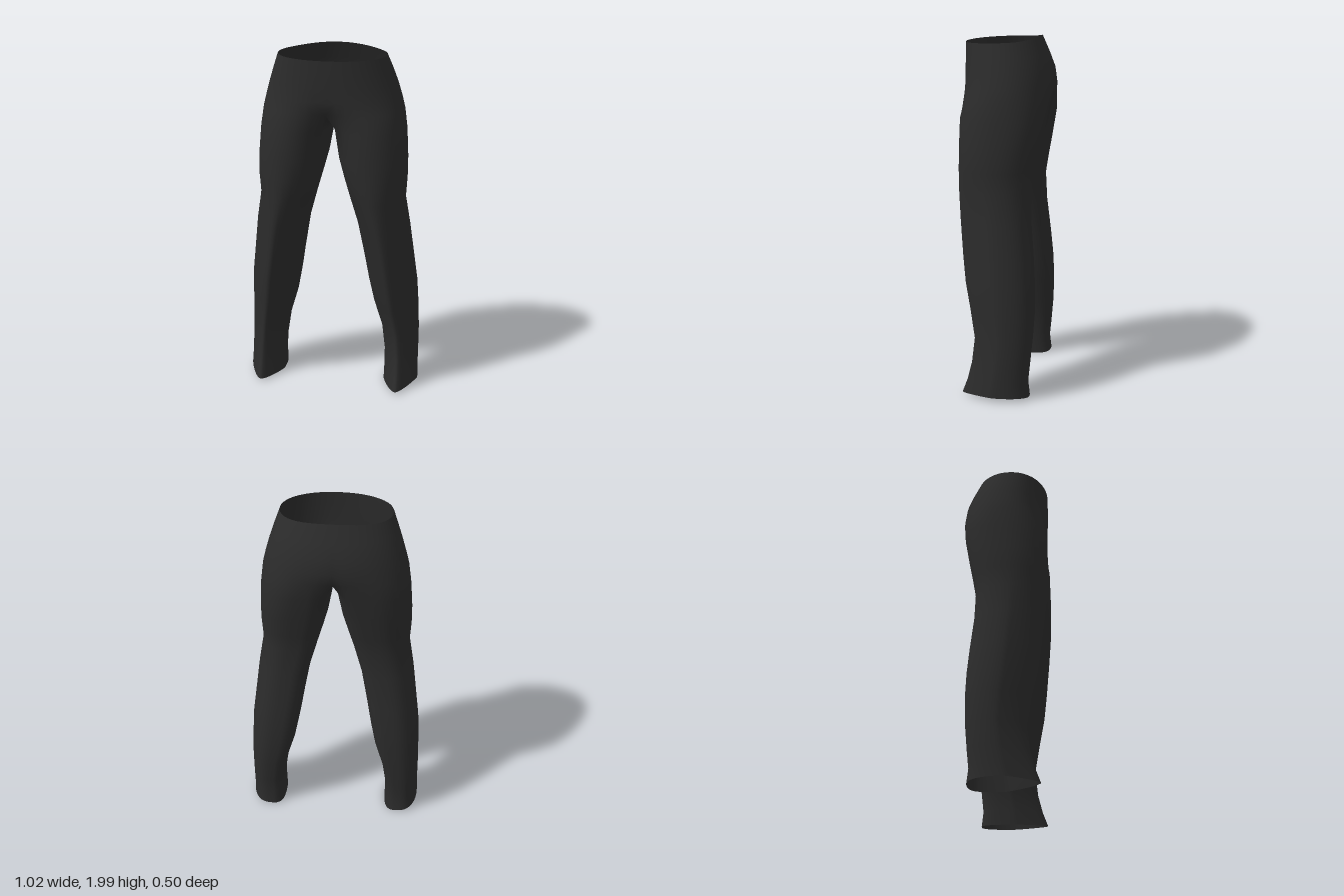
import * as THREE from 'three';
import { mergeGeometries, mergeVertices } from 'three/addons/utils/BufferGeometryUtils.js';

const OUTER = 24;            // steps round the outside of a leg, front seam to back seam
const TOTAL = 32;            // steps round a whole leg; the last 8 face the other leg

const power = (v, e) => Math.sign(v) * Math.abs(v) ** e;
const { lerp, smoothstep } = THREE.MathUtils;

// Hips: y, half width, front z, back z, how far the section has split into two lobes
const HIPS = [
  [1.975, 0.305, 0.25, -0.17, 0],
  [1.9, 0.333, 0.25, -0.213, 0],
  [1.82, 0.36, 0.25, -0.243, 0.03],
  [1.74, 0.383, 0.25, -0.254, 0.1],
  [1.67, 0.4, 0.252, -0.252, 0.32],
];

// Legs: y, inner x, outer x, front z, back z
const LEGS = [
  [1.56, 0.01, 0.414, 0.247, -0.226],
  [1.4, 0.038, 0.425, 0.25, -0.198],
  [1.28, 0.07, 0.426, 0.25, -0.175],
  [1.17, 0.101, 0.42, 0.248, -0.157],
  [1.0, 0.148, 0.448, 0.233, -0.16],
  [0.8, 0.185, 0.473, 0.213, -0.18],
  [0.65, 0.21, 0.492, 0.195, -0.192],
  [0.5, 0.24, 0.5, 0.165, -0.197],
  [0.34, 0.288, 0.505, 0.135, -0.19],
  [0.2, 0.308, 0.506, 0.15, -0.178],
  [0.1, 0.31, 0.507, 0.175, -0.168],
  [0.02, 0.308, 0.51, 0.205, -0.178],
];

// Point k of a closed leg section; k = 0 is the front inner corner.
// Towards the knee the front narrows to a shin; the inner back is full.
function legPoint([y, xi, xo, zf, zb], k) {
  const a = -Math.PI / 4 + (k / TOTAL) * Math.PI * 2;
  const s = Math.sin(a), c = Math.cos(a);
  const shin = 1 - smoothstep(y, 0.85, 1.4);
  const e = c > 0 ? 1 + 0.2 * shin : s < 0 ? 0.6 : 0.9;
  const pinch = 1 - 0.35 * shin * Math.max(0, c);
  return [
    (xi + xo) / 2 + ((xo - xi) / 2) * power(s, e) * pinch,
    y,
    (zf + zb) / 2 + ((zf - zb) / 2) * power(c, e),
  ];
}

// Point k of half a hip section, from front centre to back centre
function hipPoint([y, w, zf, zb, split], k) {
  const a = (k / OUTER) * Math.PI;
  const lobe = legPoint([y, 0, w, zf, zb], k);
  const x = lerp(w * power(Math.sin(a), 0.95), lobe[0], split);
  const z = lerp((zf + zb) / 2 + ((zf - zb) / 2) * power(Math.cos(a), 0.95), lobe[2], split);
  return [k === 0 || k === OUTER ? 0 : x, y, z];
}

// One half of the garment; side is +1 for left and -1 for right
function halfGeometry(side) {
  const rings = HIPS.map((row, i) => {
    const ring = [];
    for (let k = 0; k <= OUTER; k++) {
      const p = hipPoint(row, k);
      if (i === 0) {                       // waist rim rises at the back
        const c = Math.cos((k / OUTER) * Math.PI);
        p[1] += -0.006 * c + 0.019 * Math.max(0, -c) ** 4;
      }
      ring.push(p);
    }
    return ring;
  });

  // Crotch saddle closes the lowest hip section into a leg section
  const crotch = rings[rings.length - 1];
  const front = crotch[0], back = crotch[OUTER];
  for (let k = OUTER + 1; k < TOTAL; k++) {
    const t = (k - OUTER) / (TOTAL - OUTER);
    crotch.push([0, front[1] - 0.07 * Math.sin(t * Math.PI), lerp(back[2], front[2], t)]);
  }

  // Leg sections, with the hem dipping on the inner side
  LEGS.forEach((row, i) => {
    const ring = [];
    for (let k = 0; k < TOTAL; k++) {
      const p = legPoint(row, k);
      if (i === LEGS.length - 1) p[1] += 0.12 * (p[0] - 0.42);
      ring.push(p);
    }
    rings.push(ring);
  });

  const position = [], index = [], start = [];
  for (const ring of rings) {
    start.push(position.length / 3);
    for (const [x, y, z] of ring) position.push(side * x, y, z);
  }
  for (let i = 0; i < rings.length - 1; i++) {
    const steps = i < HIPS.length - 1 ? OUTER : TOTAL;
    for (let k = 0; k < steps; k++) {
      const n = steps === TOTAL ? (k + 1) % TOTAL : k + 1;
      const a = start[i] + k, b = start[i] + n;
      const c = start[i + 1] + k, d = start[i + 1] + n;
      if (side > 0) index.push(a, c, b, b, c, d);
      else index.push(a, b, c, b, d, c);
    }
  }
  const geometry = new THREE.BufferGeometry();
  geometry.setAttribute('position', new THREE.Float32BufferAttribute(position, 3));
  geometry.setIndex(index);
  return geometry;
}

export function createModel() {
  const group = new THREE.Group();
  group.name = 'trousers';

  const cloth = new THREE.MeshStandardMaterial({ color: 0x2b2b2b, side: THREE.DoubleSide });
  cloth.name = 'charcoal cloth';

  // Both halves are welded along the centre seam for smooth shading
  const geometry = mergeVertices(mergeGeometries([halfGeometry(1), halfGeometry(-1)]), 1e-4);
  geometry.computeVertexNormals();
  const trousers = new THREE.Mesh(geometry, cloth);
  trousers.name = 'hipsAndLegs';
  group.add(trousers);
  return group;
}
